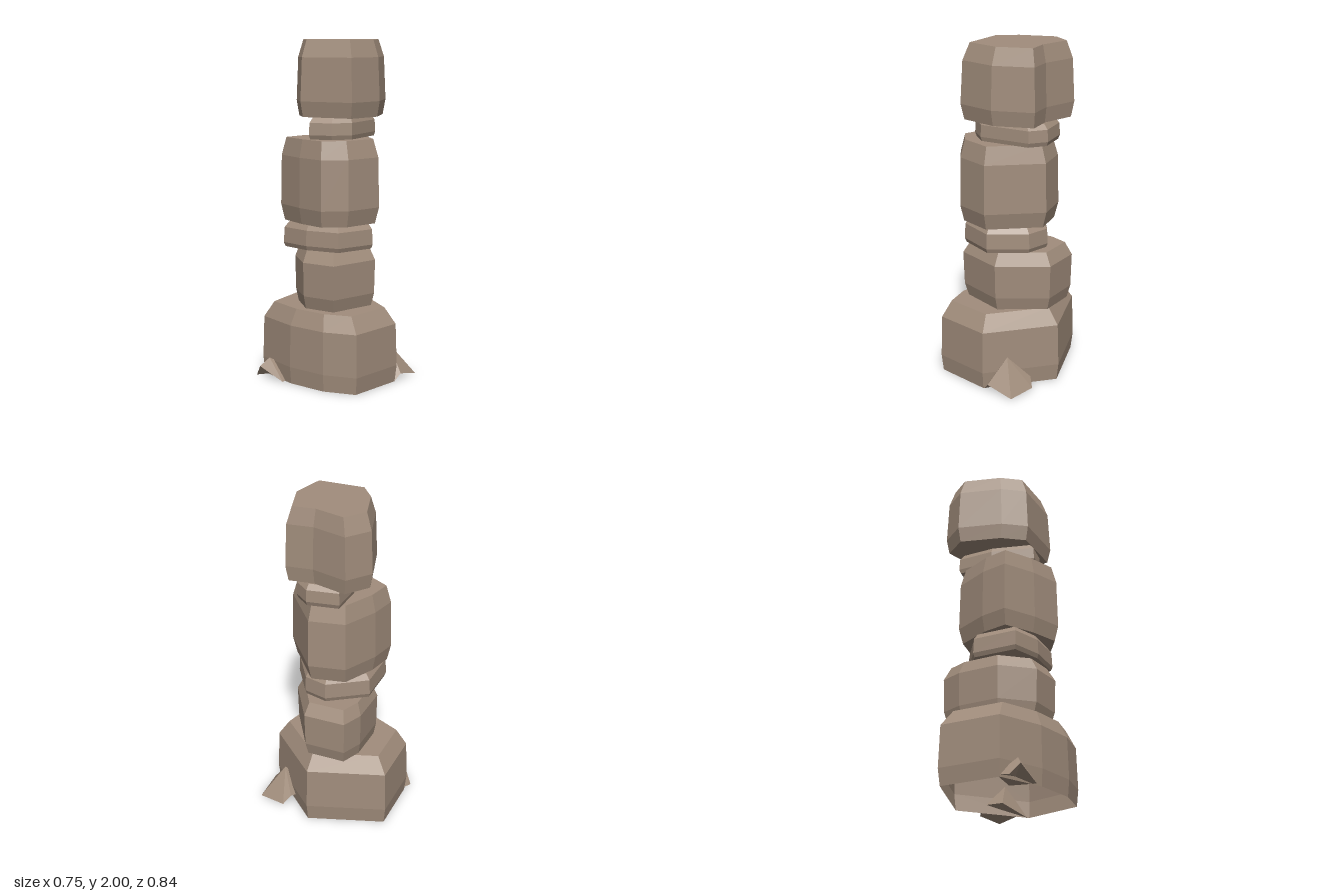
import * as THREE from 'three';

// Faceted stone: an [x, z] outline scaled about its centre at each [y, scale] level
function loft(outline, levels, openBottom) {
  const n = outline.length;
  const cx = outline.reduce((a, p) => a + p[0], 0) / n;
  const cz = outline.reduce((a, p) => a + p[1], 0) / n;
  const rings = levels.map(([y, s]) =>
    outline.map(([x, z]) => [cx + (x - cx) * s, y, cz + (z - cz) * s]));
  const pos = [];
  const tri = (a, b, c) => pos.push(...a, ...b, ...c);
  const last = rings.length - 1;
  for (let i = 0; i < n; i++) {
    const j = (i + 1) % n;
    for (let k = 0; k < last; k++) {
      const a = rings[k], b = rings[k + 1];
      tri(a[i], a[j], b[j]);
      tri(a[i], b[j], b[i]);
    }
    if (!openBottom) tri([cx, levels[0][0], cz], rings[0][j], rings[0][i]);
    tri([cx, levels[last][0], cz], rings[last][i], rings[last][j]);
  }
  return toGeometry(pos);
}

// Pointed rock: corners [x, y, z] joined to a peak and to a point underneath
function shard(corners, peak, under) {
  const pos = [];
  corners.forEach((c, i) => {
    const d = corners[(i + 1) % corners.length];
    pos.push(...c, ...d, ...peak, ...d, ...c, ...under);
  });
  return toGeometry(pos);
}

function toGeometry(pos) {
  const g = new THREE.BufferGeometry();
  g.setAttribute('position', new THREE.Float32BufferAttribute(pos, 3));
  g.computeVertexNormals();
  return g;
}

export function createModel() {
  const group = new THREE.Group();
  group.name = 'stackedStonePillar';
  const stone = new THREE.MeshStandardMaterial({
    color: 0xa18d7c, flatShading: true, side: THREE.DoubleSide, // the base is hollow below
  });
  stone.name = 'brownStone';
  const add = (name, geometry) => {
    const mesh = new THREE.Mesh(geometry, stone);
    mesh.name = name;
    group.add(mesh);
  };

  // Outlines run from the left side through the front to the right and back
  const stones = [
    ['baseStone',
      [[-0.325, -0.01], [-0.29, 0.24], [-0.195, 0.418], [0.165, 0.385], [0.355, -0.04], [0.065, -0.42], [-0.288, -0.298]],
      [[0, 0.97], [0.1, 1], [0.35, 0.98], [0.445, 0.82]]],
    ['lowerStone',
      [[-0.255, 0.03], [-0.205, 0.235], [0.115, 0.25], [0.32, 0], [0.24, -0.24], [0.1, -0.247], [-0.14, -0.17]],
      [[0.445, 0.91], [0.52, 0.98], [0.72, 1], [0.795, 0.86]]],
    ['lowerSlab',
      [[-0.25, 0.05], [-0.175, 0.245], [0.07, 0.275], [0.225, 0.08], [0.215, -0.07], [0, -0.23], [-0.255, -0.14]],
      [[0.795, 0.96], [0.82, 1], [0.91, 0.98], [0.945, 0.88]]],
    ['middleStone',
      [[-0.265, 0.01], [-0.27, 0.2], [-0.145, 0.297], [0.09, 0.305], [0.28, 0], [0.17, -0.19], [-0.06, -0.217], [-0.225, -0.197]],
      [[0.945, 0.92], [1.04, 1], [1.33, 0.98], [1.435, 0.88]]],
    ['upperSlab',
      [[-0.225, 0.05], [-0.16, 0.17], [-0.045, 0.22], [0.25, 0.11], [0.29, 0], [0.2, -0.17], [-0.01, -0.1]],
      [[1.435, 0.96], [1.46, 1], [1.53, 0.98], [1.56, 0.88]]],
    ['topStone',
      [[-0.235, -0.01], [-0.125, 0.3], [0.12, 0.275], [0.32, 0.125], [0.25, -0.02], [0.235, -0.245], [0.07, -0.298], [-0.145, -0.145]],
      [[1.56, 0.94], [1.65, 1], [1.9, 0.96], [2, 0.84]]],
  ];
  stones.forEach(([name, outline, levels], i) => add(name, loft(outline, levels, i === 0)));

  // Small broken rocks half buried in the base
  add('frontRock', shard(
    [[0.165, 0, 0.37], [0.205, 0.04, 0.38], [0.372, 0, 0.34], [0.355, 0.01, 0.165], [0.31, 0.06, 0.14], [0.12, 0.03, 0.12]],
    [0.235, 0.19, 0.255], [0.25, 0.03, 0.26]));
  add('backRock', shard(
    [[-0.375, 0.07, -0.225], [-0.335, 0, -0.065], [-0.16, 0.02, -0.1], [-0.25, 0.02, -0.285], [-0.35, 0, -0.285]],
    [-0.325, 0.12, -0.195], [-0.3, 0.02, -0.19]));
  return group;
}
